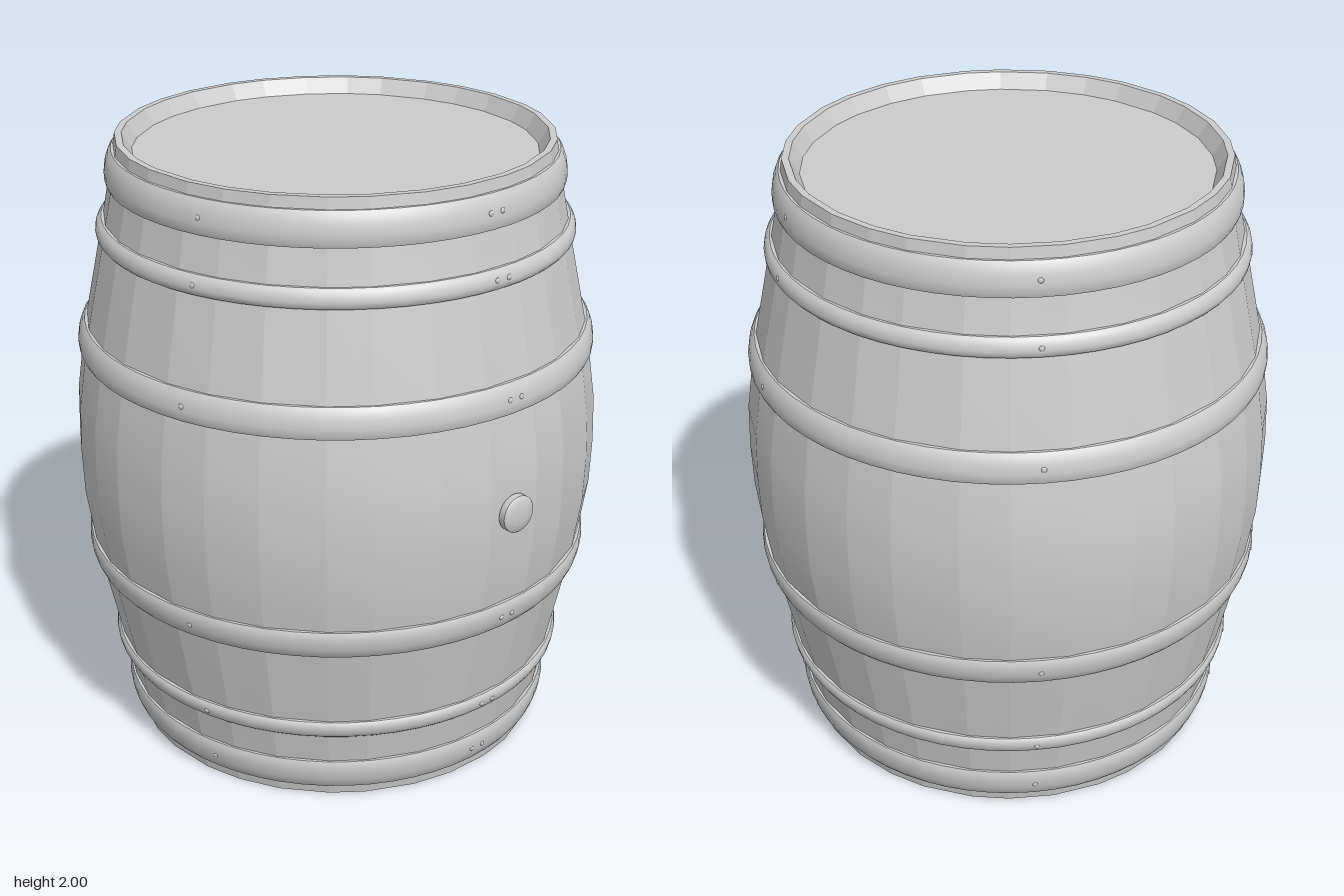
import * as THREE from 'three';
import { toCreasedNormals } from 'three/addons/utils/BufferGeometryUtils.js';

const grey = new THREE.MeshStandardMaterial({ color: 0xcccccc });
grey.name = 'plain grey';

// Stave radius against distance from mid-height
const BULGE = [[0, 0.85], [0.15, 0.845], [0.32, 0.82], [0.42, 0.802], [0.7, 0.743], [0.85, 0.713], [1, 0.687]];
const CENTRE_Z = -0.015;

function radiusAt(y) {
  const d = Math.min(Math.abs(y - 1), 1);
  let i = 1;
  while (BULGE[i][0] < d) i++;
  const [d0, r0] = BULGE[i - 1], [d1, r1] = BULGE[i];
  return r0 + (r1 - r0) * (d - d0) / (d1 - d0);
}

function lathe(points, segments, crease, start = 0, length = Math.PI * 2) {
  const profile = points.map(([r, y]) => new THREE.Vector2(r, y));
  return toCreasedNormals(new THREE.LatheGeometry(profile, segments, start, length), crease);
}

function addMesh(parent, geometry, name) {
  const mesh = new THREE.Mesh(geometry, grey);
  mesh.name = name;
  parent.add(mesh);
  return mesh;
}

// Curved staves of slightly uneven width, each flat across
function buildStaves() {
  const group = new THREE.Group();
  group.name = 'staves';
  const lower = [...BULGE].reverse().map(([d, r]) => [r, 1 - d]);
  const upper = BULGE.slice(1).map(([d, r]) => [r, 1 + d]);
  const profile = [[0.635, 0.05], [0.665, 0], ...lower, ...upper, [0.665, 2], [0.635, 1.95]];
  const count = 30, step = Math.PI * 2 / count;
  const edge = i => (i - 0.5 + 0.1 * Math.sin((i % count) * 2.4)) * step;
  for (let i = 0; i < count; i++) {
    addMesh(group, lathe(profile, 1, 0.5, edge(i), edge(i + 1) - edge(i)), 'stave');
  }
  return group;
}

// Round head made of parallel boards
function buildHead(name, y) {
  const group = new THREE.Group();
  group.name = name;
  const R = 0.66, cuts = [-R, -0.46, -0.225, 0.005, 0.235, 0.465, R];
  for (let i = 0; i < cuts.length - 1; i++) {
    const a = Math.asin(cuts[i] / R), b = Math.asin(cuts[i + 1] / R);
    const shape = new THREE.Shape();
    shape.absarc(0, 0, R, a, b, false);
    shape.absarc(0, 0, R, Math.PI - b, Math.PI - a, false);
    const board = new THREE.ExtrudeGeometry(shape, { depth: 0.04, bevelEnabled: false, curveSegments: 12 });
    board.rotateX(-Math.PI / 2);
    addMesh(group, board, 'headBoard');
  }
  group.position.y = y;
  return group;
}

// Rounded metal band with five rivet stations, doubled where the ends overlap
function buildHoop(y0, y1) {
  const group = new THREE.Group();
  group.name = 'hoop';
  const section = [[0, -0.015], [0, 0.006], [0.12, 0.013], [0.35, 0.018], [0.65, 0.018], [0.88, 0.013], [1, 0.006], [1, -0.015]]
    .map(([t, out]) => {
      const y = y0 + (y1 - y0) * t;
      const base = radiusAt(y0) + (radiusAt(y1) - radiusAt(y0)) * t;
      return [base + out, y];
    });
  addMesh(group, lathe(section, 60, 0.7), 'hoopBand');
  const y = (y0 + y1) / 2, r = (radiusAt(y0) + radiusAt(y1)) / 2 + 0.017;
  const angles = [-0.012 / r, 0.034 / r];
  for (let i = 1; i < 5; i++) angles.push(i * Math.PI * 2 / 5);
  for (const a of angles) {
    const rivet = addMesh(group, new THREE.SphereGeometry(0.009, 10, 6), 'rivet');
    rivet.position.set(r * Math.sin(a), y, r * Math.cos(a));
    rivet.rotation.y = a;
    rivet.scale.z = 0.5;
  }
  return group;
}

export function createModel() {
  const model = new THREE.Group();
  model.name = 'barrel';
  const body = new THREE.Group();
  body.name = 'barrelBody';
  body.position.z = CENTRE_Z;
  model.add(body);

  body.add(buildStaves(), buildHead('topHead', 1.91), buildHead('bottomHead', 0.05));

  // Hoops mirrored about mid-height
  for (const [y0, y1] of [[0.035, 0.14], [0.25, 0.31], [0.585, 0.68]]) {
    body.add(buildHoop(y0, y1), buildHoop(2 - y1, 2 - y0));
  }

  // Bung plug on the front
  const bung = lathe([[0.045, 0], [0.047, 0.03], [0.06, 0.038], [0.06, 0.06], [0.055, 0.065], [0.03, 0.069], [0, 0.07]], 32, 0.7);
  bung.rotateX(Math.PI / 2);
  addMesh(model, bung, 'bung').position.set(0, 1.005, 0.796);

  return model;
}
